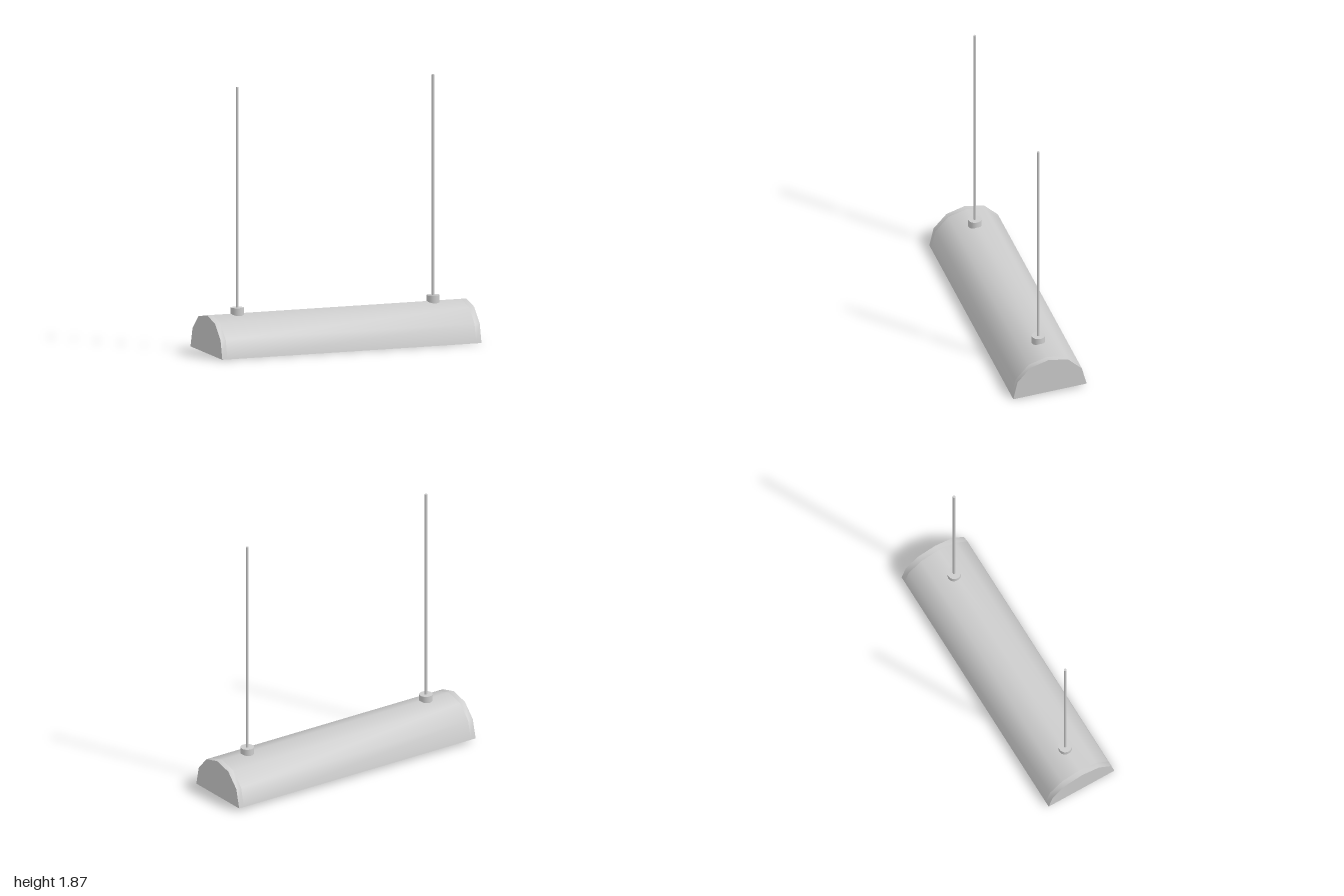
import * as THREE from 'three';
import { toCreasedNormals } from 'three/addons/utils/BufferGeometryUtils.js';

const material = new THREE.MeshStandardMaterial({ color: 0xcccccc });
const HALF = 0.993, CAP = 0.04;

// Cross-section of the slightly tilted shade, as [z, y] from front rim to back rim
const profile = [
  [0.27, 0.005], [0.24, 0.14], [0.145, 0.245], [0.01, 0.285],
  [-0.13, 0.26], [-0.23, 0.165], [-0.265, 0.03],
];
const rimY = (z) => 0.0175 - 0.0467 * z;

export function createModel() {
  const group = new THREE.Group();

  const add = (name, geometry, x = 0, y = 0, z = 0) => {
    const mesh = new THREE.Mesh(geometry, material);
    mesh.name = name;
    mesh.position.set(x, y, z);
    group.add(mesh);
  };

  // Extrudes a [z, y] outline along x, centred on x = 0
  const extrudeX = (outline, length) => {
    const shape = new THREE.Shape(outline.map(([z, y]) => new THREE.Vector2(-z, y)));
    const geometry = new THREE.ExtrudeGeometry(shape, { depth: length, bevelEnabled: false });
    geometry.translate(0, 0, -length / 2).rotateY(Math.PI / 2);
    return toCreasedNormals(geometry, Math.PI / 4);
  };

  const rodX = (radius, length) =>
    new THREE.CylinderGeometry(radius, radius, length, 16).rotateZ(Math.PI / 2);

  // Hollow shade, open underneath
  const inner = profile.map(([z, y]) => [
    0.0025 + (z - 0.0025) * 0.95,
    0.0175 + (y - 0.0175) * 0.95,
  ]);
  add('shade', extrudeX([...profile, ...inner.reverse()], 2 * (HALF - CAP)));

  for (const side of [-1, 1]) {
    // Solid end plate
    add('endCap', extrudeX(profile, CAP), side * (HALF - CAP / 2));

    // Ceiling rod and its collar
    const x = side * 0.75 - 0.01;
    add('collar', new THREE.CylinderGeometry(0.047, 0.047, 0.065, 24), x, 0.294, 0.01);
    add('hangingRod', new THREE.CylinderGeometry(0.01, 0.01, 1.57, 10), x, 1.093, 0.01);
  }

  // Two lamp tubes with a socket at each end
  for (const z of [-0.085, 0.085]) {
    const y = rimY(z) + 0.048;
    add('lampTube', rodX(0.028, 1.86), 0, y, z);
    for (const side of [-1, 1]) add('lampSocket', rodX(0.034, 0.06), side * 0.93, y, z);
  }

  return group;
}
